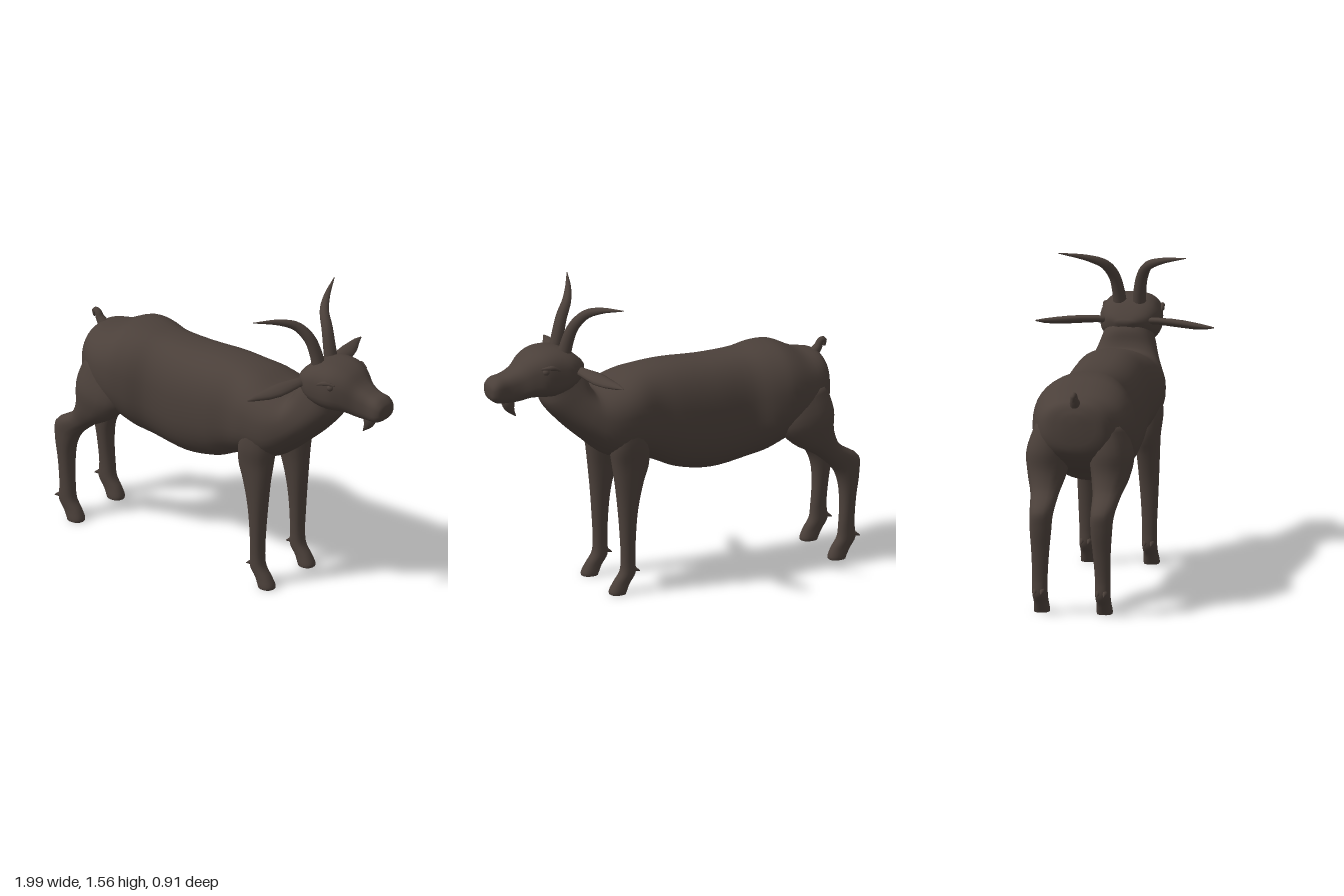
import * as THREE from 'three';

const hide = new THREE.MeshStandardMaterial({ color: 0x4b403a });
hide.name = 'dark brown hide';
const V = (x, y, z) => new THREE.Vector3(x, y, z);

// Closed skin through rings {c, u, v}: centre and two half axes, with u x v along the travel
function skin(rings, n, p = 2) {
  const pos = [], idx = [];
  const bend = (k) => Math.sign(k) * Math.abs(k) ** (2 / p);
  for (const { c, u, v } of rings) {
    for (let j = 0; j < n; j++) {
      const a = (j / n) * Math.PI * 2;
      const q = c.clone().addScaledVector(u, bend(Math.cos(a))).addScaledVector(v, bend(Math.sin(a)));
      pos.push(q.x, q.y, q.z);
    }
  }
  const last = rings.length - 1, tail = rings.length * n;
  for (const k of [0, last]) pos.push(...rings[k].c.toArray());
  for (let j = 0; j < n; j++) {
    const k = (j + 1) % n;
    for (let i = 0; i < last; i++) {
      const a = i * n + j, b = i * n + k;
      idx.push(a, b, b + n, a, b + n, a + n);
    }
    idx.push(tail, k, j, tail + 1, last * n + j, last * n + k);
  }
  const g = new THREE.BufferGeometry();
  g.setAttribute('position', new THREE.Float32BufferAttribute(pos, 3));
  g.setIndex(idx);
  g.computeVertexNormals();
  return g;
}

// Side-profile loft. Section: [upper x, y, lower x, y, half width, centre z]
function profile(sections, side = 1, n = 28, p = 2.3, steps = 4) {
  const upper = new THREE.CatmullRomCurve3(sections.map((s) => V(s[0], s[1], s[4])));
  const lower = new THREE.CatmullRomCurve3(sections.map((s) => V(s[2], s[3], (s[5] || 0) * side)));
  const rings = [], count = (sections.length - 1) * steps;
  for (let i = 0; i <= count; i++) {
    const a = upper.getPoint(i / count), b = lower.getPoint(i / count);
    rings.push({
      c: V((a.x + b.x) / 2, (a.y + b.y) / 2, b.z),
      u: V((a.x - b.x) / 2, (a.y - b.y) / 2, 0),
      v: V(0, 0, Math.max(a.z, 0.002)),
    });
  }
  return skin(rings, n, p);
}

// Round tapering tube along points, with radii spread evenly along it
function taper(points, radii, n = 10, steps = 20) {
  const path = new THREE.CatmullRomCurve3(points);
  const f = path.computeFrenetFrames(steps);
  const rings = [];
  for (let i = 0; i <= steps; i++) {
    const t = (i / steps) * (radii.length - 1), k = Math.min(Math.floor(t), radii.length - 2);
    const r = THREE.MathUtils.lerp(radii[k], radii[k + 1], t - k);
    rings.push({
      c: path.getPointAt(i / steps),
      u: f.normals[i].clone().multiplyScalar(r),
      v: f.binormals[i].clone().multiplyScalar(r),
    });
  }
  return skin(rings, n);
}

// Flat leaf-shaped ear. Section: [front x, back x, y, z, half thickness]
function ear(side) {
  const sections = [
    [0.57, 0.52, 1.195, 0.11, 0.018], [0.565, 0.51, 1.197, 0.16, 0.018],
    [0.56, 0.485, 1.196, 0.23, 0.02], [0.55, 0.472, 1.193, 0.29, 0.02],
    [0.525, 0.464, 1.19, 0.35, 0.018], [0.49, 0.457, 1.19, 0.41, 0.012],
    [0.467, 0.461, 1.191, 0.455, 0.003],
  ];
  return skin(sections.map(([f, b, y, z, t]) => ({
    c: V((f + b) / 2, y, z * side), u: V((f - b) / 2, (b - f) * 0.12, 0), v: V(0, t * side, 0),
  })), 12);
}

const TORSO = [
  [-0.855, 1.0, -0.855, 0.9, 0.05], [-0.82, 1.065, -0.838, 0.8, 0.16],
  [-0.72, 1.085, -0.74, 0.72, 0.225], [-0.6, 1.14, -0.6, 0.655, 0.258],
  [-0.5, 1.147, -0.5, 0.605, 0.245], [-0.38, 1.135, -0.4, 0.575, 0.208],
  [-0.2, 1.13, -0.2, 0.55, 0.213], [0, 1.14, -0.02, 0.58, 0.212],
  [0.13, 1.135, 0.1, 0.635, 0.207], [0.24, 1.115, 0.22, 0.68, 0.228],
  [0.35, 1.078, 0.37, 0.705, 0.23], [0.435, 1.065, 0.48, 0.79, 0.2],
  [0.46, 1.1, 0.6, 0.9, 0.165], [0.475, 1.16, 0.69, 1.01, 0.135],
  [0.53, 1.22, 0.7, 1.08, 0.115],
];
const HEAD = [
  [0.475, 1.2, 0.49, 1.16, 0.04], [0.51, 1.24, 0.53, 1.12, 0.11],
  [0.57, 1.285, 0.6, 1.08, 0.148], [0.64, 1.308, 0.67, 1.06, 0.15],
  [0.72, 1.306, 0.735, 1.065, 0.145], [0.79, 1.28, 0.785, 1.065, 0.118],
  [0.85, 1.228, 0.84, 1.052, 0.085], [0.91, 1.2, 0.9, 1.05, 0.07],
  [0.965, 1.186, 0.96, 1.057, 0.07], [0.993, 1.16, 0.988, 1.078, 0.055],
  [1.0, 1.135, 0.998, 1.1, 0.02],
];
const FORELEG = [
  [0.37, 0.92, 0.22, 0.92, 0.07, 0.145], [0.385, 0.78, 0.185, 0.78, 0.08, 0.15],
  [0.373, 0.68, 0.18, 0.67, 0.068, 0.15], [0.36, 0.58, 0.21, 0.58, 0.058, 0.155],
  [0.345, 0.44, 0.242, 0.44, 0.049, 0.158], [0.335, 0.3, 0.255, 0.3, 0.041, 0.16],
  [0.33, 0.17, 0.258, 0.17, 0.036, 0.16], [0.338, 0.11, 0.257, 0.1, 0.037, 0.16],
  [0.372, 0.06, 0.288, 0.05, 0.036, 0.16], [0.396, 0.015, 0.305, 0.012, 0.04, 0.16],
  [0.395, 0, 0.31, 0, 0.039, 0.16],
];
const HINDLEG = [
  [-0.57, 0.92, -0.8, 0.95, 0.08, 0.14], [-0.535, 0.75, -0.838, 0.81, 0.11, 0.16],
  [-0.62, 0.645, -0.838, 0.7, 0.095, 0.162], [-0.75, 0.565, -0.875, 0.61, 0.07, 0.158],
  [-0.845, 0.475, -0.985, 0.53, 0.057, 0.155], [-0.878, 0.4, -0.988, 0.45, 0.053, 0.155],
  [-0.887, 0.3, -0.97, 0.32, 0.044, 0.157], [-0.88, 0.18, -0.96, 0.18, 0.038, 0.16],
  [-0.87, 0.11, -0.965, 0.1, 0.038, 0.16], [-0.838, 0.06, -0.935, 0.05, 0.036, 0.16],
  [-0.82, 0.015, -0.915, 0.012, 0.04, 0.16], [-0.822, 0, -0.91, 0, 0.039, 0.16],
];
const BEARD = [
  [0.92, 1.075, 0.845, 1.075, 0.03], [0.918, 1.04, 0.85, 1.04, 0.03],
  [0.9, 1.005, 0.85, 1.005, 0.022], [0.845, 0.965, 0.838, 0.965, 0.003],
];

export function createModel() {
  const goat = new THREE.Group();
  goat.name = 'goat';
  const add = (name, geometry) => {
    const m = new THREE.Mesh(geometry, hide);
    m.name = name;
    goat.add(m);
    return m;
  };

  add('bodyAndNeck', profile(TORSO, 1, 40, 2.4));
  add('head', profile(HEAD, 1, 32, 2.7));
  add('beard', profile(BEARD, 1, 12, 2));
  add('tail', taper([V(-0.8, 1.03, 0), V(-0.84, 1.075, 0), V(-0.855, 1.105, 0),
    V(-0.873, 1.108, 0), V(-0.876, 1.075, 0)], [0.035, 0.027, 0.02, 0.015, 0.006]));

  for (const s of [1, -1]) {
    const side = s > 0 ? 'left' : 'right';
    add(side + 'FrontLeg', profile(FORELEG, s, 18));
    add(side + 'HindLeg', profile(HINDLEG, s, 18));
    add(side + 'Ear', ear(s));
    add(side + 'Horn', taper([V(0.6, 1.25, 0.048 * s), V(0.58, 1.34, 0.055 * s), V(0.553, 1.42, 0.072 * s),
      V(0.505, 1.485, 0.11 * s), V(0.46, 1.522, 0.185 * s), V(0.397, 1.555, 0.325 * s)],
      [0.036, 0.032, 0.028, 0.021, 0.012, 0.002]));

    // Dewclaws behind each fetlock
    for (const x of [-0.955, 0.268]) {
      for (const dz of [-0.018, 0.018]) {
        const z = 0.16 * s + dz;
        add(side + 'Dewclaw', taper([V(x + 0.02, 0.13, z), V(x - 0.012, 0.118, z), V(x - 0.032, 0.108, z)],
          [0.014, 0.012, 0.002], 6, 4));
      }
    }

    // Eye under a low brow ridge
    const eye = add(side + 'Eye', new THREE.SphereGeometry(0.018, 12, 8));
    eye.position.set(0.735, 1.222, 0.132 * s);
    add(side + 'Brow', taper([V(0.66, 1.222, 0.146 * s), V(0.71, 1.243, 0.145 * s), V(0.76, 1.238, 0.128 * s)],
      [0.004, 0.013, 0.004], 8, 8));
  }
  return goat;
}
